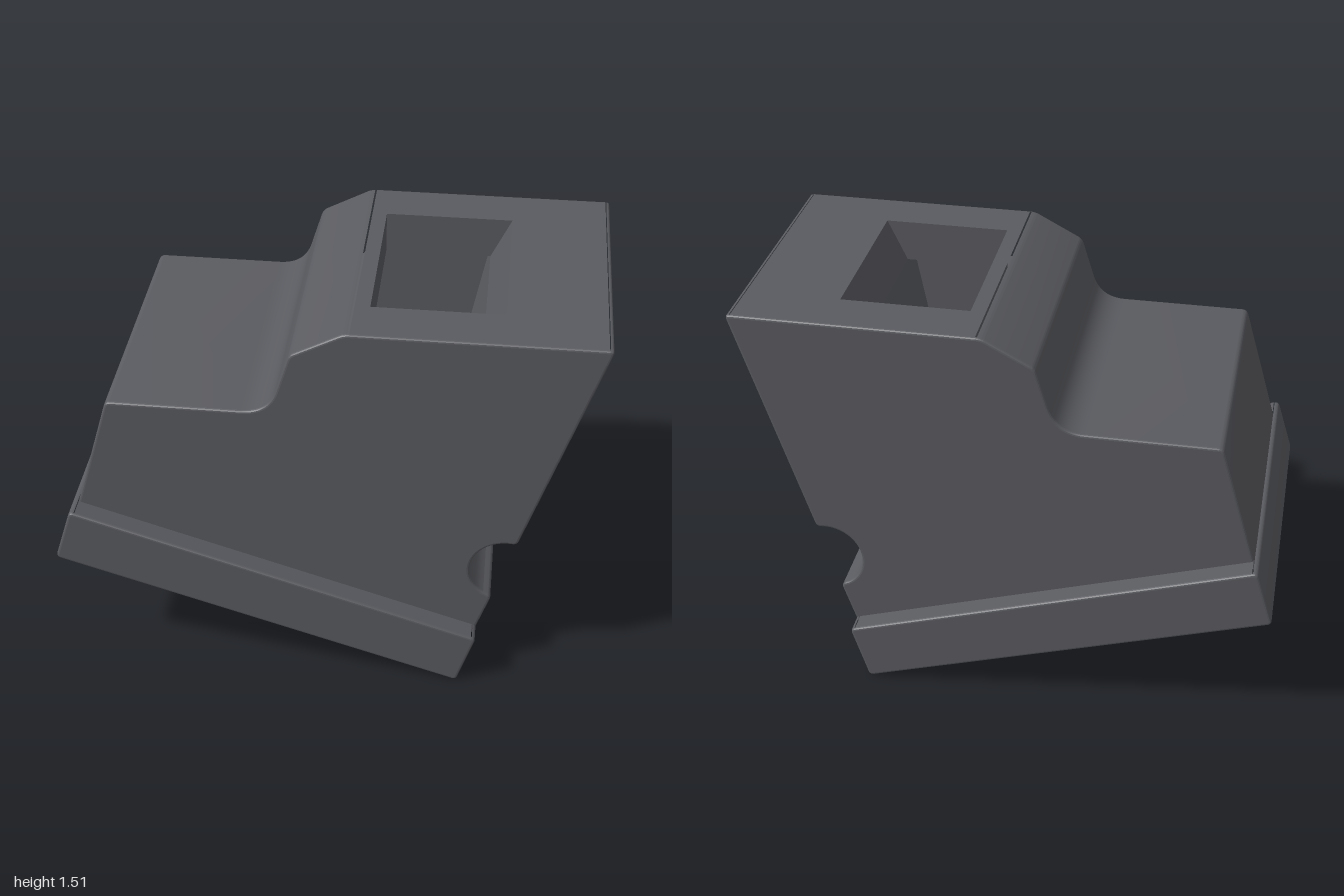
import * as THREE from 'three';
import { toCreasedNormals } from 'three/addons/utils/BufferGeometryUtils.js';

const V = (x, y) => new THREE.Vector2(x, y);
const BEVEL = 0.01, ROUND = 0.02;

// Closed outline from [x, y, trim] corners; trim is how far the corner is cut back and rounded
function roundedOutline(corners) {
  const pts = [];
  corners.forEach(([x, y, trim], i) => {
    const p = V(x, y);
    if (!trim) { pts.push(p); return; }
    const prev = corners[(i + corners.length - 1) % corners.length];
    const next = corners[(i + 1) % corners.length];
    const toward = (q) => V(q[0], q[1]).sub(p).setLength(trim).add(p);
    pts.push(...new THREE.QuadraticBezierCurve(toward(prev), p, toward(next)).getPoints(12));
  });
  return new THREE.Shape(pts);
}

// Extruded block centred on z, with the flat faces along the open lines [a, b] left out
function openBlock(shape, halfDepth, openLines) {
  const geo = new THREE.ExtrudeGeometry(shape, {
    depth: 2 * (halfDepth - BEVEL), bevelThickness: BEVEL, bevelSize: BEVEL,
    bevelOffset: -BEVEL, bevelSegments: 3,
  });
  geo.translate(0, 0, -(halfDepth - BEVEL));
  const pos = geo.attributes.position, kept = [];
  const onLine = (i, [a, b]) => {
    const d = b.clone().sub(a).normalize();
    return Math.abs(d.cross(V(pos.getX(i), pos.getY(i)).sub(a))) < 5e-4;
  };
  for (let i = 0; i < pos.count; i += 3) {
    const tri = [i, i + 1, i + 2];
    const zs = tri.map((k) => pos.getZ(k));
    const spansDepth = Math.max(...zs) - Math.min(...zs) > halfDepth;
    if (spansDepth && openLines.some((l) => tri.every((k) => onLine(k, l)))) continue;
    for (const k of tri) kept.push(pos.getX(k), pos.getY(k), pos.getZ(k));
  }
  const out = new THREE.BufferGeometry();
  out.setAttribute('position', new THREE.Float32BufferAttribute(kept, 3));
  return toCreasedNormals(out, 0.2);
}

// Flat plate running from a to b in xy, symmetric in z, facing left of the a-to-b direction.
// hole = [start, end, halfWidth], measured along the plate
function plate(a, b, halfWidth, hole, trim = 0) {
  const d = b.clone().sub(a), len = d.length();
  d.normalize();
  const rect = (s0, s1, h) => [V(s0, -h), V(s1, -h), V(s1, h), V(s0, h)];
  const shape = new THREE.Shape(rect(trim, len - trim, halfWidth));
  if (hole) shape.holes.push(new THREE.Path(rect(...hole)));
  const m = new THREE.Matrix4().makeBasis(
    new THREE.Vector3(d.x, d.y, 0), new THREE.Vector3(0, 0, -1), new THREE.Vector3(-d.y, d.x, 0));
  return new THREE.ShapeGeometry(shape).applyMatrix4(m.setPosition(a.x, a.y, 0));
}

export function createModel() {
  const model = new THREE.Group();
  const outer = new THREE.MeshStandardMaterial({ color: 0x5a5b60 });
  const inner = new THREE.MeshStandardMaterial({ color: 0x5a5b60, side: THREE.DoubleSide });
  const add = (name, geo, mat = outer) => {
    const mesh = new THREE.Mesh(geo, mat);
    mesh.name = name;
    model.add(mesh);
  };

  // Key points of the side section
  const baseL = V(-1, 0.48), baseR = V(0.53, 0), rimR = V(0.597, 0.22), rimL = V(-0.93, 0.702);
  const topL = V(0.08, 1.51), topR = V(1, 1.51);
  const footL = V(-0.922, 0.66), footR = V(0.583, 0.18);

  // Body: stepped top, slanted ends and a round groove across the right end
  const groove = [];
  for (let i = 0; i <= 20; i++) {
    const t = THREE.MathUtils.degToRad(235 - i * 7.25);
    groove.push([0.69 + 0.135 * Math.cos(t), 0.5 + 0.135 * Math.sin(t), 0]);
  }
  const bodyOutline = roundedOutline([
    [footL.x, footL.y, 0], [footR.x, footR.y, 0],
    [0.645, 0.373, ROUND], ...groove, [0.725, 0.632, ROUND],
    [topR.x, topR.y, ROUND], [topL.x, topL.y, ROUND],
    [-0.11, 1.41, ROUND], [-0.187, 1.16, 0.1], [-0.775, 1.16, ROUND],
  ]);
  add('body', openBlock(bodyOutline, 0.52, [[footL, footR], [topL, topR]]));

  // Tilted flange around the foot of the body
  const flangeOutline = roundedOutline(
    [baseL, baseR, rimR, rimL].map((p) => [p.x, p.y, ROUND]));
  add('flange', openBlock(flangeOutline, 0.6, [[baseL, baseR], [rimL, rimR]]));
  const rimLength = rimL.distanceTo(rimR);
  add('flangeRim', plate(rimL, rimR, 0.59, [0.06, rimLength - 0.04, 0.49], ROUND));

  // Main cavity section, from the lower left corner round to the lower right
  const onBase = (x) => V(x, 0.48 * (0.53 - x) / 1.53);
  const c = [onBase(-0.85), V(-0.81, 0.58), V(0.155, 1.35), V(0.555, 1.35), onBase(0.31)];
  const cavityHalf = 0.43, throatHalf = 0.33;
  const mouthL = V(0.155, 1.51), mouthR = V(0.63, 1.51);

  // Face plates with the lower and upper openings
  add('lowerFace', plate(baseR, baseL, 0.59,
    [baseR.distanceTo(c[4]), baseR.distanceTo(c[0]), cavityHalf], ROUND));
  add('upperFace', plate(topL, topR, 0.51,
    [mouthL.x - topL.x, mouthR.x - topL.x, throatHalf], ROUND));

  // Cavity lining
  add('cavityLeftWall', plate(c[1], c[0], cavityHalf), inner);
  add('cavityCeiling', plate(c[2], c[1], cavityHalf), inner);
  add('cavityRightWall', plate(c[4], c[3], cavityHalf), inner);
  for (const side of [-1, 1]) {
    const strip = plate(c[3], c[2], (cavityHalf - throatHalf) / 2);
    add('cavityRoof', strip.translate(0, 0, side * (cavityHalf + throatHalf) / 2), inner);
    add('cavitySideWall',
      new THREE.ShapeGeometry(new THREE.Shape(c)).translate(0, 0, side * cavityHalf), inner);
    add('throatSideWall',
      new THREE.ShapeGeometry(new THREE.Shape([c[2], c[3], mouthR, mouthL]))
        .translate(0, 0, side * throatHalf), inner);
  }

  // Throat joining the cavity to the upper opening
  add('throatLeftWall', plate(mouthL, c[2], throatHalf), inner);
  add('throatRightWall', plate(c[3], mouthR, throatHalf), inner);
  return model;
}
